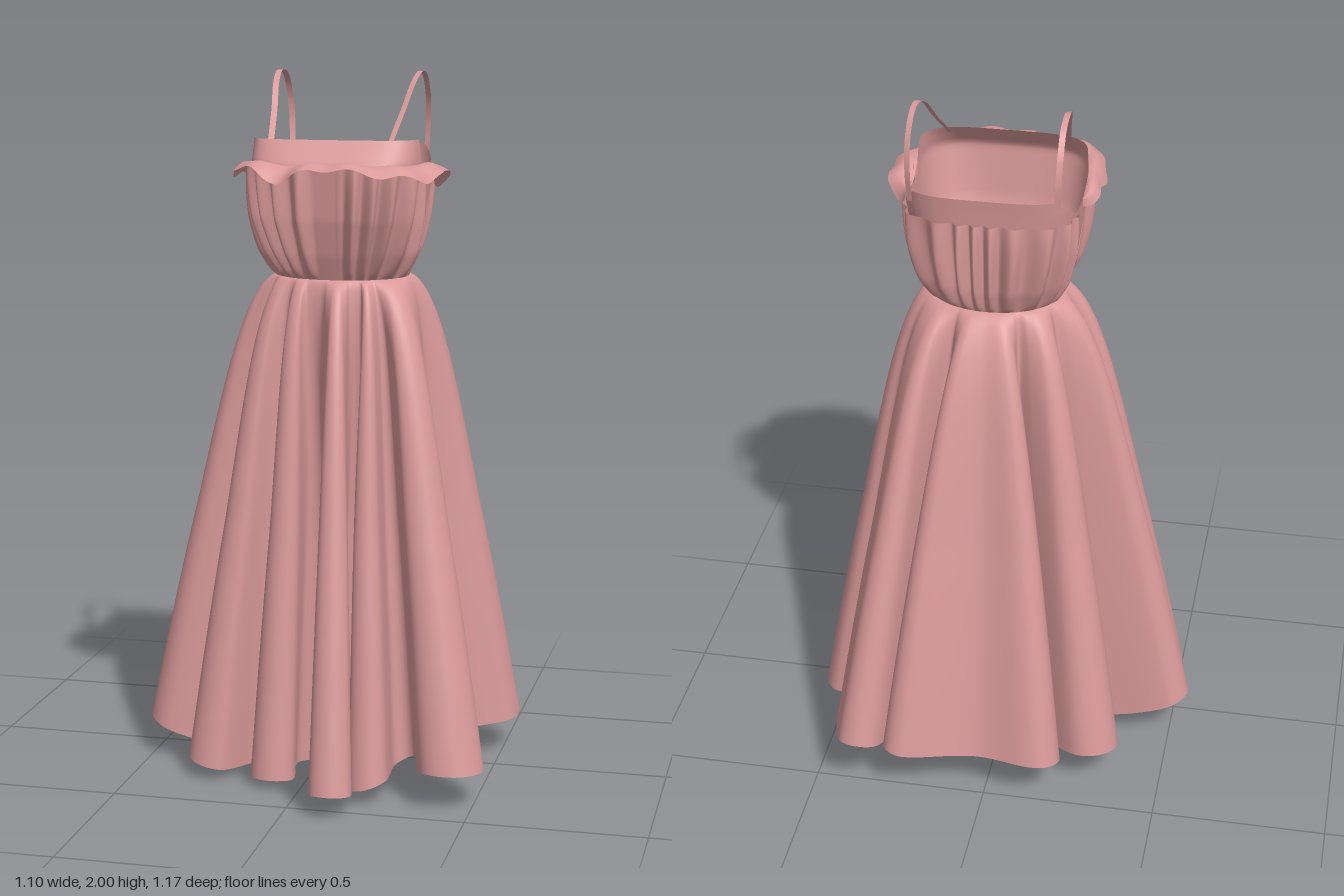
import * as THREE from 'three';

const CX = 0.045;      // body axis
const WAIST = 1.43;
const { smoothstep, lerp } = THREE.MathUtils;

const fabric = new THREE.MeshStandardMaterial({ color: 0xd99999, side: THREE.DoubleSide });
fabric.name = 'rose fabric';

// Smooth grid surface from a rule fn(i, v) -> [x, y, z]; optionally closed around.
function surface(name, nu, nv, closed, fn) {
  const pos = [], idx = [], cols = closed ? nu : nu + 1;
  for (let j = 0; j <= nv; j++)
    for (let i = 0; i < cols; i++) pos.push(...fn(i, j / nv));
  for (let j = 0; j < nv; j++)
    for (let i = 0; i < nu; i++) {
      const k = (i + 1) % cols;
      const a = j * cols + i, b = j * cols + k, c = a + cols, d = b + cols;
      idx.push(a, c, b, b, c, d);
    }
  const g = new THREE.BufferGeometry();
  g.setAttribute('position', new THREE.Float32BufferAttribute(pos, 3));
  g.setIndex(idx);
  g.computeVertexNormals();
  const m = new THREE.Mesh(g, fabric);
  m.name = name;
  return m;
}

// Body section radii by height: y, side, front, back, squareness
const SECTIONS = [
  [1.43, 0.190, 0.160, 0.165, 2.1],
  [1.50, 0.215, 0.187, 0.185, 2.4],
  [1.60, 0.228, 0.215, 0.195, 3.0],
  [1.75, 0.240, 0.235, 0.210, 3.8],
  [1.83, 0.238, 0.168, 0.220, 4.2],
];
function bodyRadius(a, y) {
  let k = 0;
  while (k < SECTIONS.length - 2 && y > SECTIONS[k + 1][0]) k++;
  const A = SECTIONS[k], B = SECTIONS[k + 1], t = (y - A[0]) / (B[0] - A[0]);
  const [, rx, zf, zb, n] = A.map((v, i) => lerp(v, B[i], t));
  const s = Math.sin(a), rz = s > 0 ? zf : zb;
  return ((Math.abs(Math.cos(a)) / rx) ** n + (Math.abs(s) / rz) ** n) ** (-1 / n);
}
const around = (a, r, y) => [CX + r * Math.cos(a), y, r * Math.sin(a)];

// Neckline: high front band, low underarm, raised back
function topEdge(a) {
  const s = Math.sin(a);
  return 1.72 + 0.10 * smoothstep(s, 0.24, 0.36) + 0.07 * smoothstep(-s, 0.38, 0.72);
}

// Plain fitted bodice, showing at the sides and above the gathers
function makeBodice() {
  const N = 360;
  return surface('bodice', N, 30, true, (i, v) => {
    const a = i / N * Math.PI * 2, y = lerp(WAIST, topEdge(a), v);
    return around(a, bodyRadius(a, y), y);
  });
}

// Puffed, gathered panel laid over the bodice between two angles
function makeGathers(name, a0, a1, top, flatCentre) {
  const N = 260;
  return surface(name, N, 28, false, (i, v) => {
    const u = i / N, a = lerp(a0, a1, u), y = lerp(WAIST, top, v);
    let mask = smoothstep(Math.min(u, 1 - u), 0, 0.06);
    mask *= 1 - flatCentre * (1 - smoothstep(Math.abs(Math.cos(a)), 0.12, 0.28));
    const puff = Math.sqrt(Math.max(0, Math.sin(Math.PI * lerp(0, 0.93, v)))) * mask;
    const wave = Math.sin(a * 25 + 1.8 * Math.sin(a * 5 + 1) + 0.8 * v);
    return around(a, bodyRadius(a, y) + 0.003 + puff * (0.014 + 0.015 * wave), y);
  });
}

// Frill under the front band
function makeFrill() {
  const N = 260, a0 = -0.22, a1 = Math.PI + 0.1;
  return surface('frill', N, 10, false, (i, v) => {
    const u = i / N, a = lerp(a0, a1, u), s = Math.max(0, Math.sin(a));
    const ends = smoothstep(Math.min(u, 1 - u), -0.03, 0.08);
    const depth = (0.055 + 0.015 * Math.cos(a) + 0.05 * s * s) * ends;
    const wave = Math.sin(a * 6 + 1.2 * Math.sin(a * 3)) + 0.45 * Math.sin(a * 15 + 1);
    const inner = 1.722 + 0.03 * smoothstep(s, 0, 0.35);
    const y = inner + 0.014 * Math.sin(Math.PI * v) + v * (-0.018 + 0.018 * wave);
    const r = bodyRadius(a, inner) + v * depth + v * 0.004 * Math.sin(a * 19);
    return around(a, r, y);
  });
}

// Skirt folds in order: outward tip x, z, half-width, then the next inward tip x, z, half-width
const FOLDS = [
  [0.475, 0.445, 0.095, 0.27, 0.20, 0.03],
  [0.21, 0.445, 0.055, 0.10, 0.03, 0.055],
  [0.14, 0.58, 0.06, -0.01, 0.09, 0.055],
  [-0.09, 0.375, 0.065, -0.14, 0.19, 0.03],
  [-0.325, 0.315, 0.075, -0.20, 0.13, 0.02],
  [-0.515, 0.085, 0.085, -0.23, 0.00, 0.02],
  [-0.55, -0.08, 0.072, -0.20, -0.17, 0.03],
  [-0.355, -0.40, 0.085, -0.04, -0.26, 0.02],
  [-0.21, -0.51, 0.07, 0.02, -0.51, 0],
  [0.27, -0.565, 0.06, 0.21, -0.25, 0.025],
  [0.37, -0.585, 0.065, 0.46, -0.38, 0],
  [0.545, -0.18, 0.12, 0.36, 0.05, 0],
];

// Closed hem outline: every tip is rounded along an arc
function hemCurve() {
  const at = (i, k) => {
    const f = FOLDS[(i + FOLDS.length) % FOLDS.length];
    return new THREE.Vector3(f[k], 0, f[k + 1]);
  };
  const points = [];
  const roundTip = (tip, prev, next, w, sign) => {
    if (w === 0) return points.push(tip);
    const toTip = tip.clone().sub(prev.add(next).multiplyScalar(0.5)).normalize();
    const across = new THREE.Vector3(-toTip.z, 0, toTip.x).multiplyScalar(sign);
    const centre = tip.clone().addScaledVector(toTip, -w);
    for (let k = -2; k <= 2; k++) {
      const b = k * 0.63;
      points.push(centre.clone().addScaledVector(toTip, w * Math.cos(b))
        .addScaledVector(across, w * Math.sin(b)));
    }
  };
  FOLDS.forEach((f, i) => {
    roundTip(at(i, 0), at(i - 1, 3), at(i, 3), f[2], 1);
    roundTip(at(i, 3), at(i, 0), at(i + 1, 0), f[5], -1);
  });
  const curve = new THREE.CatmullRomCurve3(points, true);
  curve.arcLengthDivisions = 2000;
  return curve;
}

// Hem height: lowest at the front, lifting to the sides and back
function hemHeight(x, z) {
  const side = x > 0 ? 0.1 * smoothstep(x, 0.12, 0.38) : 0.43 * x * x;
  return Math.hypot(side, z < 0 ? 0.28 * z : 0.2 * z * z);
}

function makeSkirt() {
  const N = 720;
  const hem = hemCurve().getSpacedPoints(N).slice(0, N);
  // Even spread of cloth round the waist, eased toward each fold's direction
  const drift = hem.map((p, i) => {
    const d = Math.atan2(p.z, p.x - CX) - i / N * Math.PI * 2;
    return Math.atan2(Math.sin(d), Math.cos(d));
  });
  const angle = hem.map((_, i) => {
    let sum = 0, total = 0;
    for (let k = -100; k <= 100; k++) {
      const w = Math.exp(-((k / 38) ** 2) / 2);
      sum += w * drift[(i + k + N) % N];
      total += w;
    }
    return i / N * Math.PI * 2 + sum / total;
  });
  return surface('skirt', N, 44, true, (i, v) => {
    const p = hem[i], a = angle[i], t = v ** 1.6;
    const f = t ** lerp(1.25, 0.7, smoothstep(Math.hypot(p.x, p.z), 0.1, 0.36));
    const bulge = 0.025 * Math.sin(Math.PI * Math.min(1, Math.sqrt(t * 2)));
    const [wx, , wz] = around(a, bodyRadius(a, WAIST) + bulge, WAIST);
    return [lerp(wx, p.x, f), lerp(WAIST, hemHeight(p.x, p.z), t), lerp(wz, p.z, f)];
  });
}

// Thin ribbon strap looping over the shoulder
function makeStrap(name, side) {
  const path = new THREE.CatmullRomCurve3([
    [0.168, 1.80, 0.175], [0.174, 1.84, 0.13], [0.185, 1.90, 0.06], [0.198, 1.97, -0.01],
    [0.205, 2.0, -0.08], [0.205, 1.985, -0.15], [0.205, 1.93, -0.195],
    [0.203, 1.86, -0.213], [0.20, 1.77, -0.205],
  ].map(p => new THREE.Vector3(...p)));
  return surface(name, 60, 1, false, (i, v) => {
    const p = path.getPoint(i / 60);
    return [CX + side * (p.x + (v - 0.5) * 0.016), p.y, p.z + (v - 0.5) * 0.006];
  });
}

export function createModel() {
  const dress = new THREE.Group();
  dress.name = 'dress';
  dress.add(makeSkirt(), makeBodice(), makeFrill());
  dress.add(makeGathers('frontGathers', 0.15, Math.PI - 0.15, 1.75, 1));
  dress.add(makeGathers('backGathers', Math.PI + 0.33, 2 * Math.PI - 0.33, 1.715, 0));
  dress.add(makeStrap('leftStrap', 1), makeStrap('rightStrap', -1));
  return dress;
}
